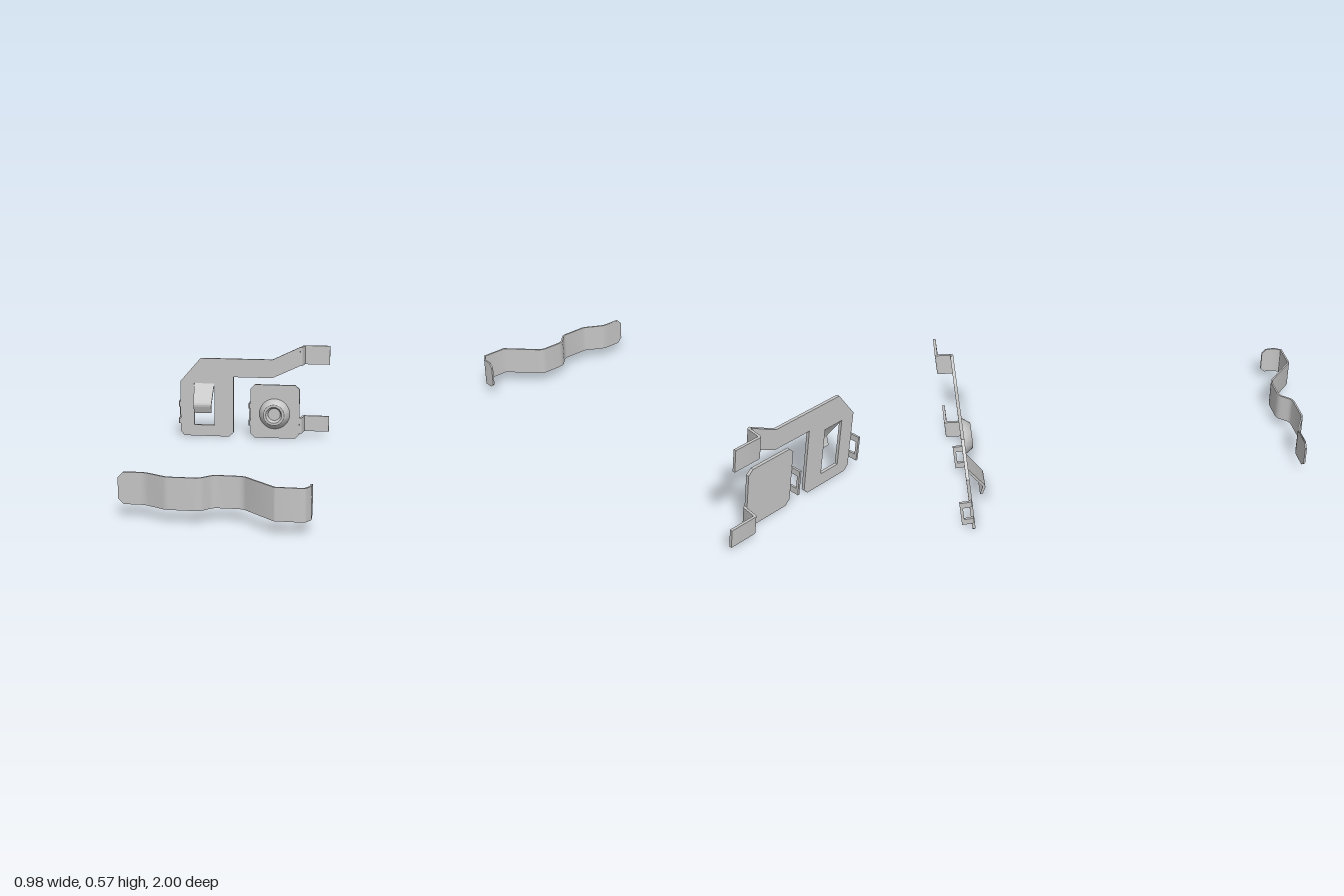
import * as THREE from 'three';
import { toCreasedNormals } from 'three/addons/utils/BufferGeometryUtils.js';

const steel = new THREE.MeshStandardMaterial({ color: 0xc5c5c5 });
steel.name = 'light steel grey';

const T = 0.016;          // plate thickness
const PLATE_Z = -0.921;   // rear face of both plates

function add(parent, name, geometry) {
  const mesh = new THREE.Mesh(geometry, steel);
  mesh.name = name;
  parent.add(mesh);
  return mesh;
}

function polygon(points, Type = THREE.Shape) {
  return new Type(points.map(([x, y]) => new THREE.Vector2(x, y)));
}

// Rounds the corners of a 2D path; a third entry sets that corner's own size
function roundPath(points, radius) {
  const p = points.map(([x, y]) => new THREE.Vector2(x, y));
  const out = [p[0]];
  for (let i = 1; i < p.length - 1; i++) {
    const r = points[i][2] ?? radius;
    const toward = (q) => {
      const d = q.clone().sub(p[i]);
      return p[i].clone().add(d.setLength(Math.min(r, d.length() * 0.45)));
    };
    out.push(...new THREE.QuadraticBezierCurve(toward(p[i - 1]), p[i], toward(p[i + 1])).getPoints(5));
  }
  out.push(p[p.length - 1]);
  return out;
}

// Bent sheet: thickens a 2D path and extrudes it across its width
function bentSheet(path, thickness, width) {
  const sides = [[], []];
  path.forEach((p, i) => {
    const a = p.clone().sub(path[Math.max(i - 1, 0)]).normalize();
    const b = path[Math.min(i + 1, path.length - 1)].clone().sub(p).normalize();
    const t = a.clone().add(b).normalize();
    const k = thickness / 2 / Math.max(t.dot(i ? a : b), 0.5);
    const n = new THREE.Vector2(-t.y, t.x).multiplyScalar(k);
    sides[0].push(p.clone().add(n));
    sides[1].unshift(p.clone().sub(n));
  });
  return new THREE.ExtrudeGeometry(new THREE.Shape([...sides[0], ...sides[1]]), { depth: width, bevelEnabled: false });
}

// Upright strip following [x, z] points, from y0 to y1
function strip(points, y0, y1, thickness, radius) {
  const path = roundPath(points.map(([x, z, r]) => [x, -z, r]), radius);
  return bentSheet(path, thickness, y1 - y0).rotateX(-Math.PI / 2).translate(0, y0, 0);
}

function moveVertices(geometry, rule) {
  const pos = geometry.attributes.position;
  const v = new THREE.Vector3();
  for (let i = 0; i < pos.count; i++) {
    rule(v.fromBufferAttribute(pos, i));
    pos.setXYZ(i, v.x, v.y, v.z);
  }
  return geometry;
}

const smooth = (g) => toCreasedNormals(g, 0.5);

function plate(parent, name, outline, hole) {
  const shape = polygon(outline);
  if (hole) shape.holes.push(polygon(hole, THREE.Path));
  return add(parent, name, new THREE.ExtrudeGeometry(shape, { depth: T, bevelEnabled: false }).translate(0, 0, PLATE_Z));
}

// Terminal: steps back from the plate and runs out to the right
function terminal(parent, name, y0, y1) {
  const z = PLATE_Z + T / 2;
  const points = [[0.265, z], [0.279, z], [0.289, -0.993], [0.448, -0.993]];
  add(parent, name, smooth(strip(points, y0, y1, T * 0.85, 0.006)));
}

// Side loop: two legs curl back from the plate edge and carry an upright bar
function sideLoop(parent, name, edge) {
  const loop = new THREE.Group();
  loop.name = name;
  const x = edge - 0.009;
  const z = PLATE_Z + T / 2;
  for (const y of [0.075, 0.182]) {
    const leg = strip([[edge + 0.004, z], [x, z], [x, -0.955]], y, y + 0.033, 0.012, 0.014);
    add(loop, 'loopLeg', smooth(leg));
  }
  add(loop, 'loopBar', new THREE.BoxGeometry(0.012, 0.14, 0.014).translate(x, 0.145, -0.961));
  parent.add(loop);
}

export function createModel() {
  const model = new THREE.Group();
  model.name = 'contactSet';

  // Long contact with arm and spring window
  const longContact = new THREE.Group();
  longContact.name = 'longContact';
  plate(longContact, 'armPlate',
    [[-0.453, 0], [-0.17, 0], [-0.143, 0.026], [-0.143, 0.379], [0.1, 0.379], [0.27, 0.458],
      [0.27, 0.574], [0.1, 0.493], [-0.35, 0.493], [-0.479, 0.345], [-0.479, 0.026]],
    [[-0.391, 0.07], [-0.391, 0.335], [-0.264, 0.335], [-0.264, 0.07]]);
  terminal(longContact, 'upperTerminal', 0.458, 0.574);
  sideLoop(longContact, 'outerLoop', -0.479);

  // Bent spring tongue, narrowing below its root
  const tonguePath = roundPath([[-0.913, 0.336], [-0.836, 0.21], [-0.856, 0.16]], 0.012);
  const tongue = bentSheet(tonguePath, 0.013, 0.126).rotateY(-Math.PI / 2).translate(-0.2645, 0, 0);
  moveVertices(tongue, (v) => {
    const k = THREE.MathUtils.clamp((0.34 - v.y) / 0.18, 0, 1);
    v.x = -0.3275 + (v.x + 0.3275) * (1 - 0.14 * k);
  });
  add(longContact, 'springTongue', smooth(tongue));
  model.add(longContact);

  // Short contact with raised button
  const shortContact = new THREE.Group();
  shortContact.name = 'shortContact';
  plate(shortContact, 'buttonPlate',
    [[-0.008, 0], [0.243, 0], [0.27, 0.026], [0.27, 0.31], [0.243, 0.336],
      [-0.008, 0.336], [-0.035, 0.31], [-0.035, 0.026]]);
  terminal(shortContact, 'lowerTerminal', 0.034, 0.132);
  sideLoop(shortContact, 'innerLoop', -0.035);
  const profile = [[0.095, 0], [0.093, 0.008], [0.07, 0.04], [0.064, 0.044],
    [0.05, 0.044], [0.044, 0.038], [0.038, 0.018], [0, 0.018]];
  const button = new THREE.LatheGeometry(profile.map(([x, y]) => new THREE.Vector2(x, y)).reverse(), 48);
  // Reverse the winding so the outside faces outwards
  const idx = button.index.array;
  for (let i = 0; i < idx.length; i += 3) [idx[i], idx[i + 1]] = [idx[i + 1], idx[i]];
  const buttonMesh = add(shortContact, 'button', smooth(button.rotateX(Math.PI / 2)));
  buttonMesh.position.set(0.115, 0.154, PLATE_Z + T);
  model.add(shortContact);

  // Wavy front spring strip with clipped corners at both ends
  const Y0 = 0.065, Y1 = 0.22, CLIP = 0.027;
  const wave = strip(
    [[-0.419, 0.836], [-0.392, 0.836], [-0.29, 0.836], [-0.18, 0.897, 0.012], [-0.025, 0.897], [0.03, 0.836], [0.17, 0.836],
      [0.33, 0.995, 0.003], [0.463, 0.995, 0.003], [0.486, 0.957, 0.003], [0.486, 0.91], [0.486, 0.885]],
    Y0, Y1, 0.009, 0.024);
  moveVertices(wave, (v) => {
    const left = Math.max(0, -0.392 - v.x);
    const right = v.x > 0.475 ? Math.max(0, 0.908 - v.z) : 0;
    const cut = Math.min(CLIP, left + right);
    v.y += v.y > (Y0 + Y1) / 2 ? -cut : cut;
  });
  add(model, 'waveSpring', smooth(wave));

  return model;
}
